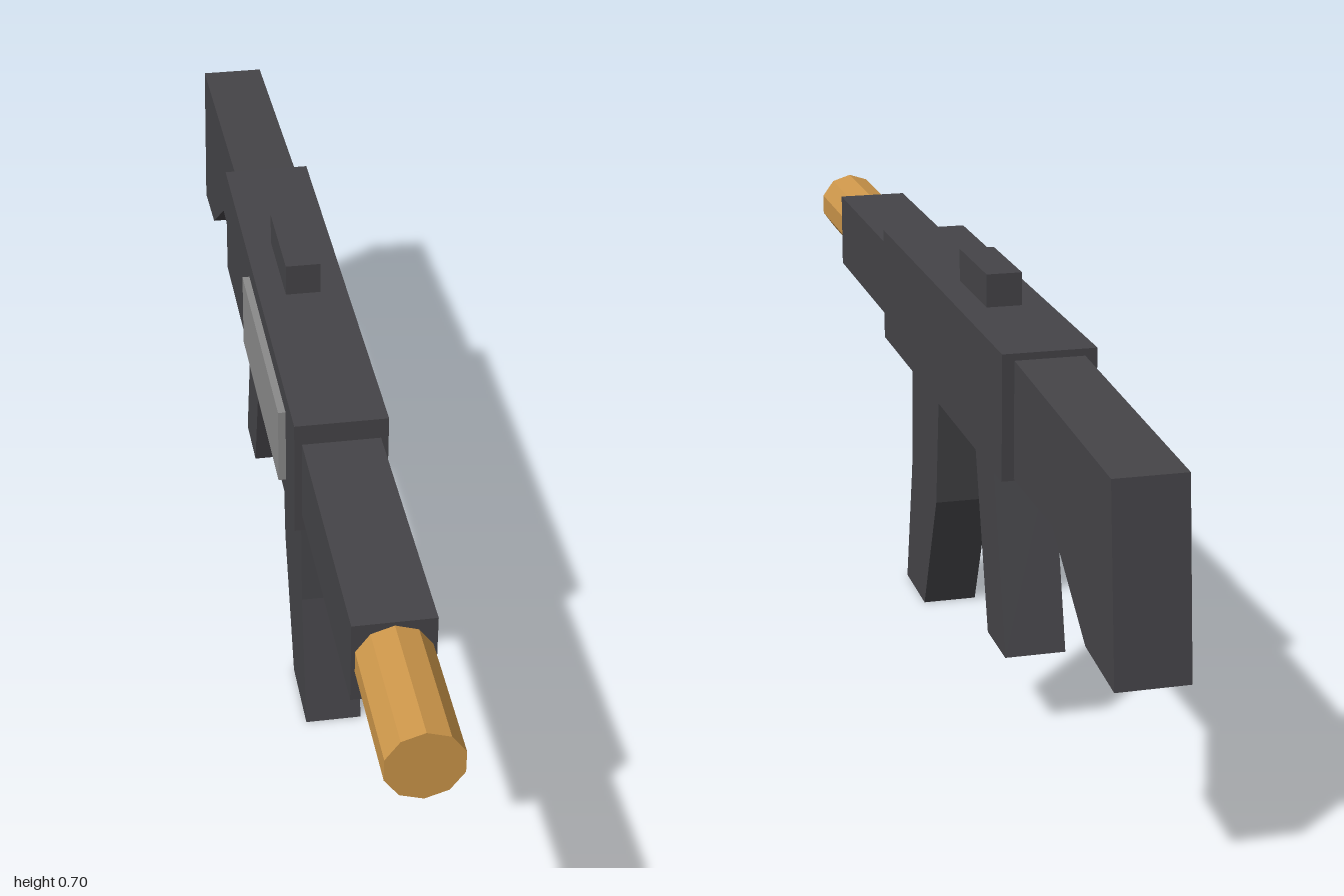
import * as THREE from 'three';

const CX = 0.005; // shared centre line

export function createModel() {
  const group = new THREE.Group();
  const material = (name, color) => {
    const m = new THREE.MeshStandardMaterial({ color });
    m.name = name;
    return m;
  };
  const dark = material('dark metal', 0x454448);
  const brass = material('brass', 0xcc964a);
  const grey = material('grey metal', 0x8a8a8a);

  const add = (name, geometry, mat) => {
    const mesh = new THREE.Mesh(geometry, mat);
    mesh.name = name;
    group.add(mesh);
    return mesh;
  };

  // Box given by its low and high corners
  const box = (name, mat, lo, hi) => {
    const size = hi.map((v, i) => v - lo[i]);
    add(name, new THREE.BoxGeometry(...size), mat)
      .position.set(...hi.map((v, i) => (v + lo[i]) / 2));
  };

  // Side profile of [z, y] points, extruded across x
  const slab = (name, width, points) => {
    const shape = new THREE.Shape(points.map(([z, y]) => new THREE.Vector2(z, y)));
    const geometry = new THREE.ExtrudeGeometry(shape, { depth: width, bevelEnabled: false });
    geometry.translate(0, 0, -width / 2);
    geometry.rotateY(-Math.PI / 2);
    geometry.translate(CX, 0, 0);
    add(name, geometry, dark);
  };

  // Body, forward guard and top sight
  box('receiver', dark, [-0.069, 0.451, -0.492], [0.079, 0.651, 0.33]);
  box('handguard', dark, [-0.057, 0.481, 0.33], [0.067, 0.616, 0.775]);
  box('sight', dark, [-0.024, 0.65, -0.23], [0.034, 0.705, -0.055]);

  // Plate on the right side of the receiver
  box('sidePlate', grey, [-0.081, 0.487, -0.178], [-0.069, 0.617, 0.24]);

  // Ten-sided barrel
  const barrel = new THREE.CylinderGeometry(0.059, 0.059, 0.23, 10).toNonIndexed();
  barrel.computeVertexNormals();
  barrel.rotateX(Math.PI / 2);
  barrel.translate(CX, 0.551, 0.885);
  add('barrel', barrel, brass);

  // Stock, magazine and grip
  slab('stock', 0.11, [
    [-0.49, 0.64], [-0.968, 0.616], [-1, 0.325], [-0.868, 0.337], [-0.7, 0.454], [-0.49, 0.454],
  ]);
  slab('magazine', 0.094, [
    [0.22, 0.455], [0.02, 0.455], [0.045, 0.226], [0.14, 0], [0.28, 0], [0.232, 0.23],
  ]);
  slab('grip', 0.099, [
    [-0.23, 0.455], [-0.344, 0.455], [-0.428, 0.132], [-0.32, 0.132],
  ]);

  return group;
}
